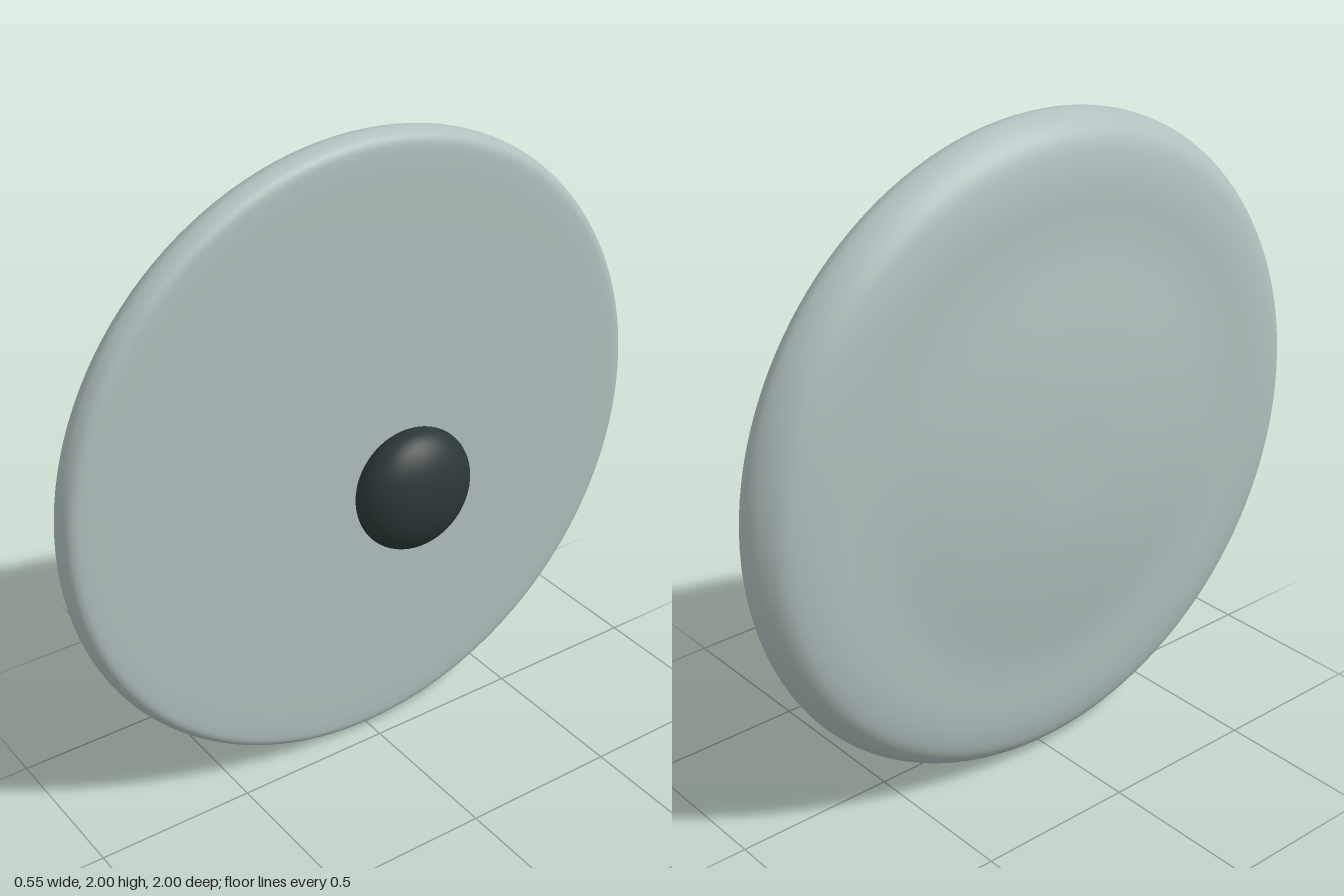
import * as THREE from 'three';

// Smooth profile through a few [radius, x] points
function curvePoints(points, steps) {
  const curve = new THREE.SplineCurve(points.map(([r, x]) => new THREE.Vector2(r, x)));
  return curve.getPoints(steps).map((p) => new THREE.Vector2(Math.max(p.x, 0), p.y));
}

export function createModel() {
  const group = new THREE.Group();

  // Upright disc: gently domed back, rounded rim, flat face towards +x
  const back = curvePoints([
    [0, -0.28], [0.18, -0.279], [0.4, -0.261], [0.6, -0.235], [0.7, -0.228],
    [0.8, -0.225], [0.88, -0.215], [0.94, -0.195], [0.98, -0.155],
    [1, -0.11], [0.993, -0.075], [0.975, -0.054], [0.94, -0.047], [0.86, -0.045],
  ], 72);
  const profile = [...back, new THREE.Vector2(0.5, -0.044), new THREE.Vector2(0, -0.044)];
  const discGeometry = new THREE.LatheGeometry(profile, 128);
  discGeometry.rotateZ(-Math.PI / 2);
  const disc = new THREE.Mesh(
    discGeometry,
    new THREE.MeshStandardMaterial({ color: 0xb0c0be })
  );
  disc.name = 'disc';
  disc.position.y = 1;

  // Flattened dark knob floating in front of the face
  const knob = new THREE.Mesh(
    new THREE.SphereGeometry(1, 64, 40),
    new THREE.MeshStandardMaterial({ color: 0x2c3838 })
  );
  knob.name = 'knob';
  knob.scale.set(0.107, 0.189, 0.189);
  knob.position.set(0.167, 1.003, 0);

  group.add(disc, knob);
  return group;
}
